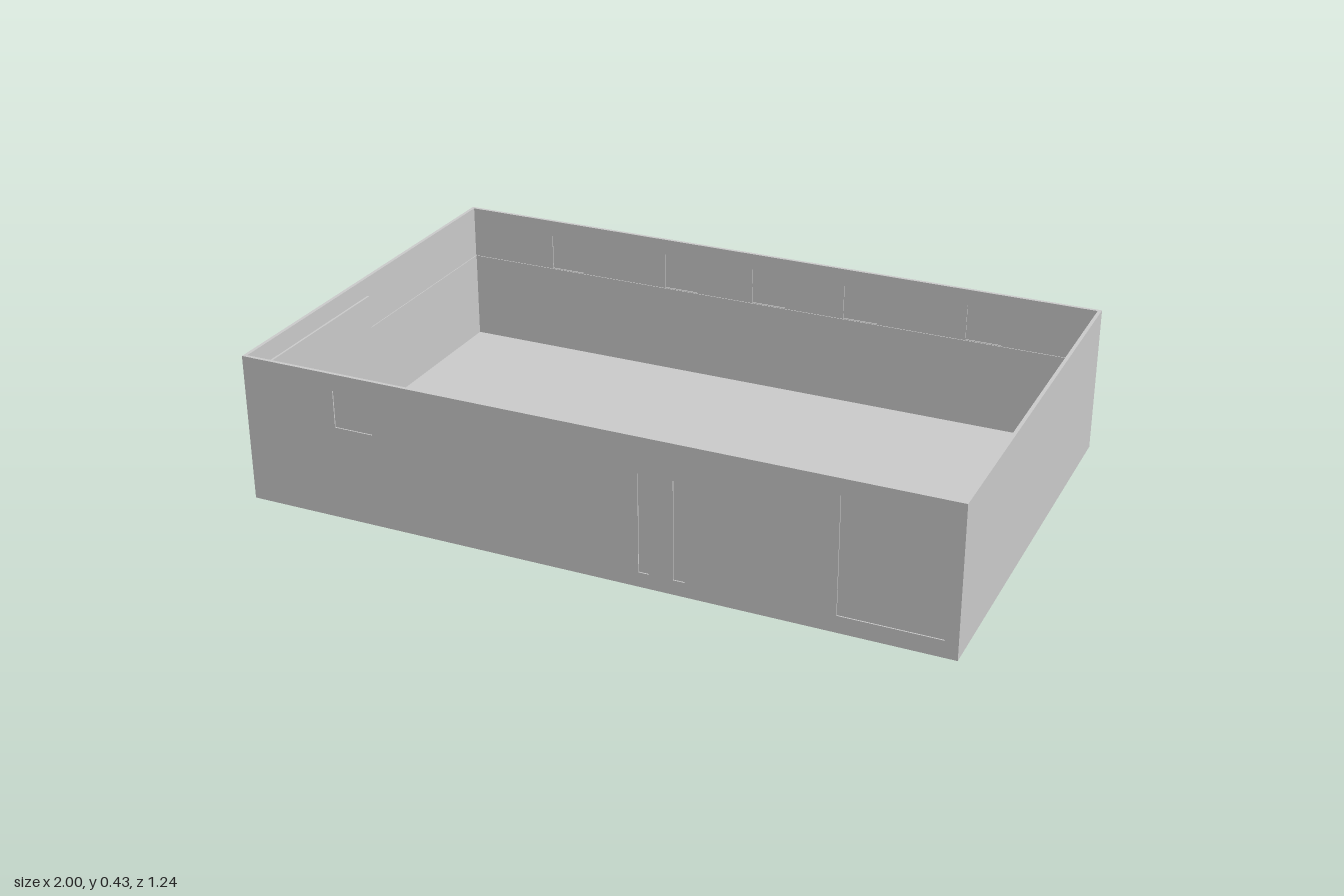
import * as THREE from 'three';

const L = 2, D = 1.24, H = 0.425; // outer length, depth, height
const T = 0.01;                   // wall thickness
const FLOOR = 0.005;
const RAIL = 0.268;               // top of the inner wainscot

const material = new THREE.MeshStandardMaterial({ color: 0xcccccc });

function box(name, x0, x1, y0, y1, z0, z1) {
  const mesh = new THREE.Mesh(new THREE.BoxGeometry(x1 - x0, y1 - y0, z1 - z0), material);
  mesh.position.set((x0 + x1) / 2, (y0 + y1) / 2, (z0 + z1) / 2);
  mesh.name = name;
  return mesh;
}

// Long wall from z0 to z0 + T; every opening [x0, x1, y0, y1] is closed by a thin inset pane
function longWall(name, z0, openings) {
  const group = new THREE.Group();
  group.name = name;
  const path = (p, x0, x1, y0, y1) => {
    p.moveTo(x0, y0);
    p.lineTo(x1, y0);
    p.lineTo(x1, y1);
    p.lineTo(x0, y1);
    p.closePath();
    return p;
  };
  const shape = path(new THREE.Shape(), -L / 2, L / 2, 0, H);
  for (const o of openings) {
    shape.holes.push(path(new THREE.Path(), ...o));
    group.add(box('pane', ...o, z0 + T * 0.35, z0 + T * 0.65));
  }
  const wall = new THREE.Mesh(
    new THREE.ExtrudeGeometry(shape, { depth: T, bevelEnabled: false }), material);
  wall.position.z = z0;
  wall.name = name + 'Panel';
  group.add(wall);
  return group;
}

export function createModel() {
  const model = new THREE.Group();
  model.name = 'openRoom';
  const X = L / 2, Z = D / 2, xi = X - T, zi = Z - T;
  const w = 0.0025; // wainscot projection

  model.add(box('floor', -xi, xi, 0, FLOOR, -zi, zi));

  // End walls
  for (const s of [-1, 1]) {
    const c = s * (X - T / 2);
    model.add(box('endWall', c - T / 2, c + T / 2, 0, H, -zi, zi));
    const k = s * (xi - w / 2);
    model.add(box('endWainscot', k - w / 2, k + w / 2, FLOOR, RAIL, -zi, zi));
  }

  // Back wall with five small windows
  const backWindows = [-0.663, -0.28, 0.006, 0.296, 0.67]
    .map(x => [x - 0.053, x + 0.053, 0.27, 0.377]);
  model.add(longWall('backWall', -Z, backWindows));
  model.add(box('backWainscot', -xi + w, xi - w, FLOOR, RAIL, -zi, -zi + w));

  // Front wall: small window, two narrow door lights, large window
  const lights = [[0.158, 0.188, 0.042, 0.323], [0.254, 0.286, 0.042, 0.323]];
  model.add(longWall('frontWall', Z - T, [
    [-0.723, -0.61, 0.27, 0.377],
    ...lights,
    [0.69, 0.965, 0.048, 0.38],
  ]));
  for (const [x0, x1] of [[-xi + w, 0.092], [0.377, 0.69]]) {
    model.add(box('frontWainscot', x0, x1, FLOOR, RAIL, zi - w, zi));
  }

  // Thin inner face of the door, cut round its light
  const [a, b, y0, y1] = lights[0];
  const d0 = 0.092, d1 = 0.235, top = 0.383;
  model.add(
    box('doorStile', d0, a, FLOOR, top, zi - 0.002, zi),
    box('doorStile', b, d1, FLOOR, top, zi - 0.002, zi),
    box('doorRail', a, b, FLOOR, y0, zi - 0.002, zi),
    box('doorRail', a, b, y1, top, zi - 0.002, zi),
  );

  // Board hung on the inside of the end wall
  model.add(box('wallBoard', -xi, -xi + 0.006, 0.158, 0.37, 0.02, 0.55));

  return model;
}
